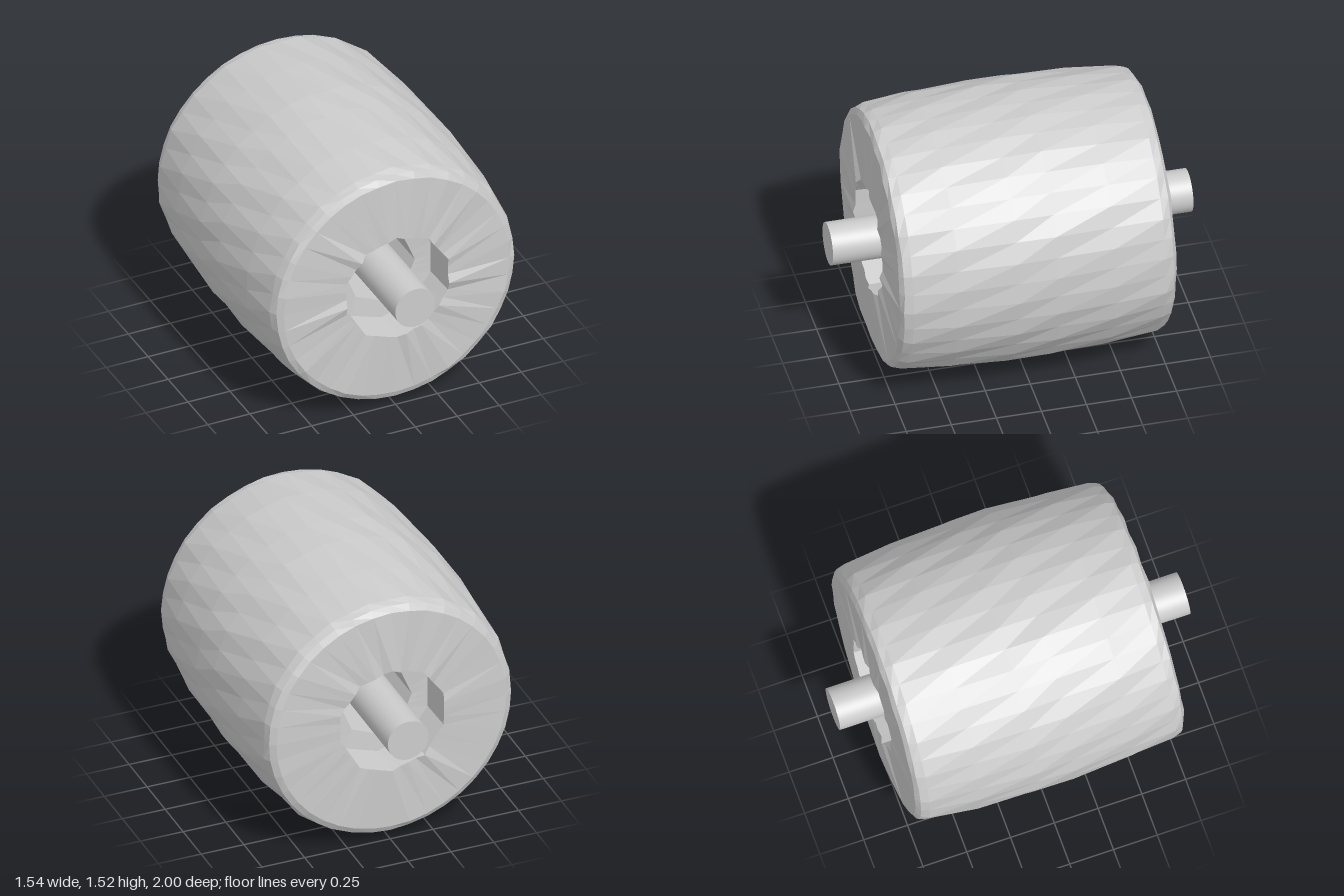
import * as THREE from 'three';

const CENTER_Y = 0.765;
const SEGMENTS = 40;

// Radius factor that turns a circle into a regular polygon
function polygonFactor(angle, sides, phase) {
  const step = (Math.PI * 2) / sides;
  const a = angle + phase * step;
  const local = a - Math.round(a / step) * step;
  return Math.cos(step / 2) / Math.cos(local);
}

// Repeatable value in 0..1 for a profile row and a column
function hash(row, column) {
  const s = Math.sin(row * 127.1 + column * 311.7) * 43758.5453;
  return s - Math.floor(s);
}

// Closed section: [radius, position on axis, polygon sides, phase, face wobble]
const SECTION = [
  [0.205, -0.56, 8, 0.5, 0],
  [0.31, -0.57, 10, 0.5, 0],
  [0.318, -0.772, 10, 0.5, 0.018],
  [0.675, -0.765, 40, 0, 0.006],
  [0.71, -0.745, 40, 0, 0.005],
  [0.728, -0.7, 20, 0, 0],
  [0.753, -0.42, 20, 0.5, 0],
  [0.768, -0.1, 20, 0, 0],
  [0.766, 0.12, 20, 0.5, 0],
  [0.753, 0.45, 20, 0, 0],
  [0.728, 0.7, 20, 0.5, 0],
  [0.71, 0.745, 40, 0, 0.008],
  [0.675, 0.762, 40, 0, 0.01],
  [0.318, 0.77, 10, 0.5, 0.022],
  [0.31, 0.57, 10, 0.5, 0],
  [0.205, 0.56, 8, 0.5, 0],
  [0.205, -0.56, 8, 0.5, 0],
];

function createBarrelGeometry() {
  const points = SECTION.map(([r, y]) => new THREE.Vector2(r, y));
  const geometry = new THREE.LatheGeometry(points, SEGMENTS);
  const pos = geometry.attributes.position;
  for (let i = 0; i < pos.count; i++) {
    const row = i % SECTION.length;
    const column = Math.floor(i / SECTION.length) % SEGMENTS;
    const [radius, y, sides, phase, wobble] = SECTION[row];
    const angle = (column / SEGMENTS) * Math.PI * 2;
    let r = radius * polygonFactor(angle, sides, phase);
    // Small hand-hewn unevenness on the tread
    if (radius > 0.72) r += (hash(row, column >> 1) - 0.6) * 0.008;
    // Occasional radial ridges on the end faces
    const bump = Math.pow(hash(row, column), 3) * wobble * Math.sign(y);
    pos.setXYZ(i, Math.sin(angle) * r, y + bump, Math.cos(angle) * r);
  }
  geometry.rotateX(Math.PI / 2);
  geometry.computeVertexNormals();
  return geometry;
}

export function createModel() {
  const model = new THREE.Group();
  model.name = 'roller';

  // Rough barrel with recessed ends and a through bore
  const barrel = new THREE.Mesh(
    createBarrelGeometry(),
    new THREE.MeshStandardMaterial({ color: 0xcccccc, flatShading: true })
  );
  barrel.name = 'barrel';
  barrel.position.y = CENTER_Y;
  model.add(barrel);

  // Smooth axle running through the bore
  const axle = new THREE.Mesh(
    new THREE.CylinderGeometry(0.119, 0.119, 2, 48).rotateX(Math.PI / 2),
    new THREE.MeshStandardMaterial({ color: 0xcccccc })
  );
  axle.name = 'axle';
  axle.position.y = CENTER_Y;
  model.add(axle);

  return model;
}
